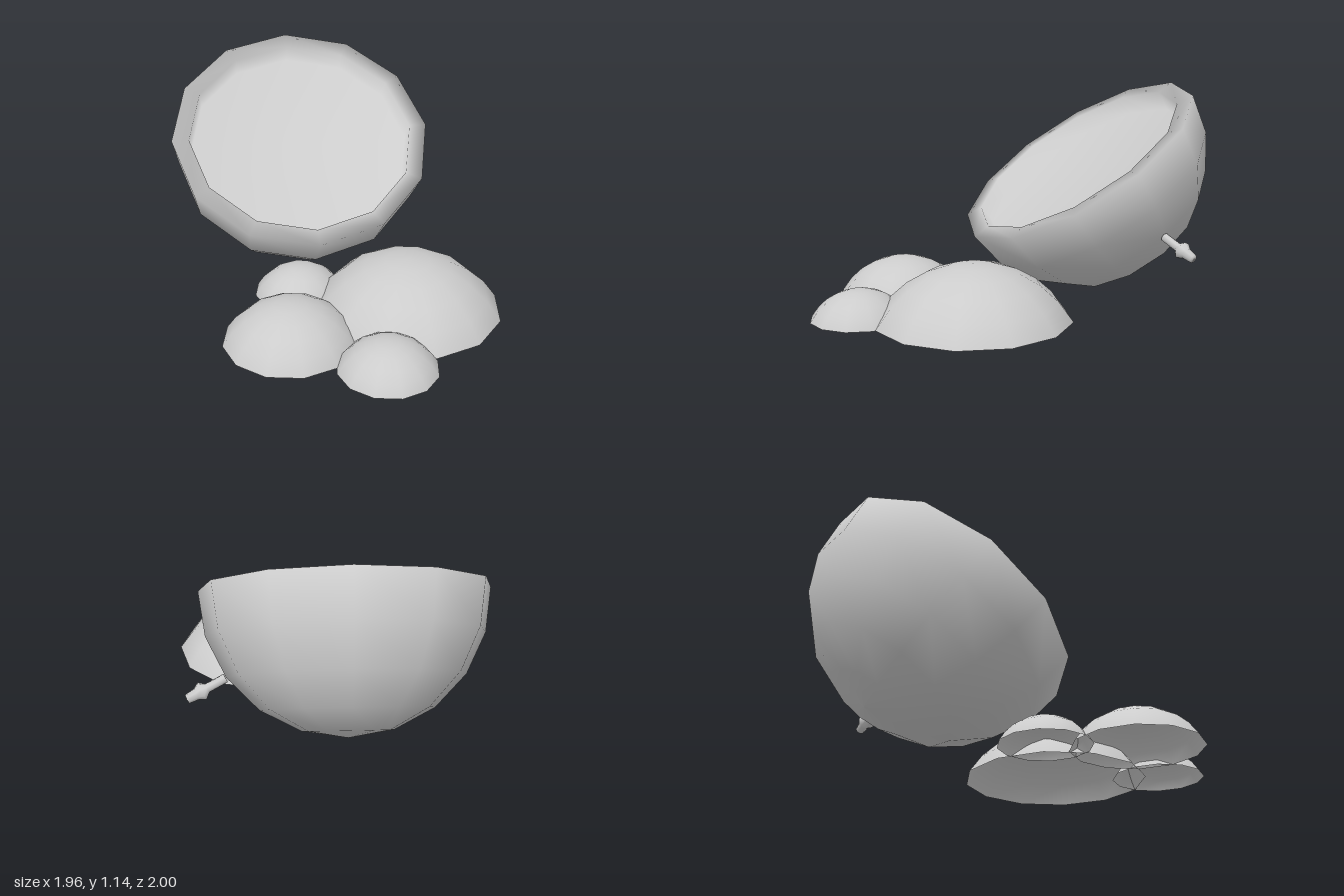
import * as THREE from 'three';

const stone = new THREE.MeshStandardMaterial({ color: 0xcccccc, side: THREE.DoubleSide });
stone.name = 'lightGrey';

// Smooth lathe from [radius, height] pairs
function lathe(name, pairs, sides) {
  const geo = new THREE.LatheGeometry(pairs.map(([r, y]) => new THREE.Vector2(r, y)), sides);
  const mesh = new THREE.Mesh(geo, stone);
  mesh.name = name;
  return mesh;
}

// Open spherical cap standing on the ground
function dome(name, x, z, radius, height) {
  const R = (radius * radius + height * height) / (2 * height);
  const geo = new THREE.SphereGeometry(R, 12, 5, 0, Math.PI * 2, 0, Math.asin(radius / R));
  const mesh = new THREE.Mesh(geo, stone);
  mesh.name = name;
  mesh.position.set(x, height - R, z);
  return mesh;
}

export function createModel() {
  const model = new THREE.Group();
  model.name = 'tiltedBowlOnMounds';

  // Bowl: hemispherical outside, flat rim, short inner wall and a shallow flat floor
  const outer = 0.726, rings = 5;
  const profile = [];
  for (let i = 0; i <= rings; i++) {
    const a = (i / rings) * Math.PI / 2;
    profile.push([outer * Math.sin(a), -outer * Math.cos(a)]);
  }
  profile.push([0.63, 0], [0.62, -0.11], [0, -0.11]);
  const bowl = lathe('bowl', profile, 12);
  const up = new THREE.Vector3(0.266, 0.828, 0.4935).normalize();
  const side = new THREE.Vector3().crossVectors(up, new THREE.Vector3(-0.28, 0.4, -0.52)).normalize();
  const back = new THREE.Vector3().crossVectors(side, up);
  bowl.quaternion.setFromRotationMatrix(new THREE.Matrix4().makeBasis(side, up, back));
  bowl.position.set(-0.26, 0.728, -0.28);
  model.add(bowl);

  // Small flared spout on the back of the bowl
  const spout = lathe('spout', [
    [0, 0], [0.023, 0], [0.023, 0.1], [0.048, 0.13], [0.03, 0.16], [0.024, 0.21], [0, 0.215],
  ], 8);
  const dir = new THREE.Vector3(0.64, -0.38, -0.66).normalize();
  spout.quaternion.setFromUnitVectors(new THREE.Vector3(0, 1, 0), dir);
  spout.position.set(0.15, 0.37, -0.765);
  model.add(spout);

  // Mounds: x, z, radius, height
  model.add(
    dome('largeMound', 0.48, 0.18, 0.5, 0.285),
    dome('mediumMound', 0.0, 0.653, 0.345, 0.2),
    dome('smallFrontMound', 0.525, 0.747, 0.25, 0.147),
    dome('smallHiddenMound', -0.11, 0.2, 0.245, 0.15),
  );
  return model;
}
